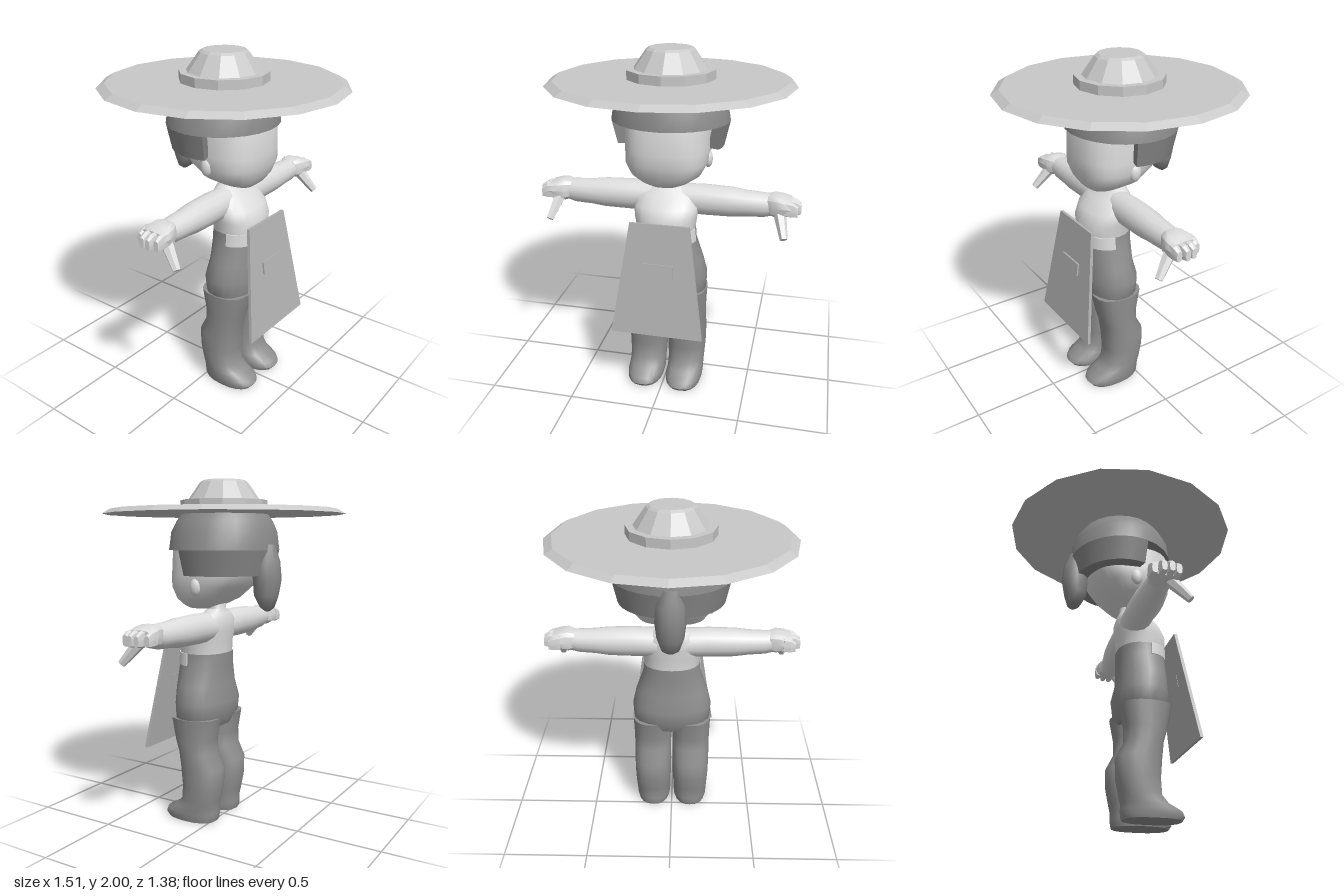
import * as THREE from 'three';
import { toCreasedNormals } from 'three/addons/utils/BufferGeometryUtils.js';

const mat = (name, color) => Object.assign(new THREE.MeshStandardMaterial({ color }), { name });
const skin = mat('pale skin and shirt', 0xdcdcdc);
const straw = mat('straw', 0xc8c8c8);
const cloth = mat('apron cloth', 0xb4b4b4);
const hairMat = mat('hair', 0x8a8a8a);
const trouserMat = mat('trousers', 0x909090);

const mesh = (name, geo, material, parent) => {
  const m = new THREE.Mesh(geo, material);
  m.name = name;
  parent.add(m);
  return m;
};

// One cross-section [y, zFront, zBack, halfWidth, centreX]; n squares it off,
// arc + wall make an open band instead of a full ring
function section([y, zf, zb, rx, cx = 0], { n = 2, seg = 20, arc = null, wall = 0.08 }) {
  const pow = (v) => Math.sign(v) * Math.abs(v) ** (2 / n);
  const at = (a, inset) => new THREE.Vector3(
    cx + pow(Math.cos(a)) * (rx - inset), y,
    (zf + zb) / 2 + pow(Math.sin(a)) * ((zf - zb) / 2 - inset));
  const pts = [];
  if (!arc) {
    for (let i = 0; i < seg; i++) pts.push(at(i / seg * Math.PI * 2, 0));
    return pts;
  }
  const angle = (i) => arc[0] + (arc[1] - arc[0]) * i / seg;
  for (let i = 0; i <= seg; i++) pts.push(at(angle(i), 0));
  for (let i = seg; i >= 0; i--) pts.push(at(angle(i), wall));
  return pts;
}

// Capped skin through cross-sections listed from bottom to top
function loft(levels, opts = {}) {
  const rings = levels.map((l) => section(l, opts));
  const k = rings[0].length, pos = [], idx = [];
  rings.forEach((r) => r.forEach((p) => pos.push(p.x, p.y, p.z)));
  for (let j = 0; j < rings.length - 1; j++) {
    for (let i = 0; i < k; i++) {
      const a = j * k + i, b = j * k + (i + 1) % k;
      idx.push(a, a + k, b, b, a + k, b + k);
    }
  }
  [[0, false], [rings.length - 1, true]].forEach(([j, up]) => {
    const flat = rings[j].map((p) => new THREE.Vector2(p.x, p.z));
    THREE.ShapeUtils.triangulateShape(flat, []).forEach(([a, b, c]) => {
      const turn = flat[b].clone().sub(flat[a]).cross(flat[c].clone().sub(flat[a]));
      const t = (turn < 0) === up ? [a, b, c] : [a, c, b];
      idx.push(...t.map((v) => v + j * k));
    });
  });
  const geo = new THREE.BufferGeometry();
  geo.setAttribute('position', new THREE.Float32BufferAttribute(pos, 3));
  geo.setIndex(idx);
  return toCreasedNormals(geo, opts.crease ?? 0.9);
}

// Faceted ring of revolution
const facetLathe = (pts, sides) =>
  toCreasedNormals(new THREE.LatheGeometry(pts.map((p) => new THREE.Vector2(...p)), sides), 0.1);

function buildHat(g) {
  mesh('hatBrim', facetLathe([[0, 1.81], [0.69, 1.81], [0.645, 1.837], [0, 1.837]], 16), straw, g);
  mesh('hatBand', facetLathe([[0.25, 1.83], [0.25, 1.888], [0, 1.888]], 12), straw, g);
  mesh('hatCrown', facetLathe([[0.21, 1.885], [0.137, 1.988], [0.12, 2], [0, 2]], 12), straw, g);
}

function buildHead(g) {
  mesh('head', loft([
    [1.27, 0.21, 0.06, 0.08], [1.29, 0.235, 0.02, 0.13], [1.33, 0.262, -0.06, 0.195],
    [1.4, 0.288, -0.14, 0.232], [1.47, 0.292, -0.2, 0.235], [1.61, 0.285, -0.23, 0.235],
    [1.75, 0.25, -0.2, 0.22]], { n: 2.7, seg: 28 }), skin, g);
  for (const s of [1, -1]) {
    const ear = mesh('ear', new THREE.SphereGeometry(1, 10, 8), skin, g);
    ear.scale.set(0.025, 0.05, 0.035);
    ear.position.set(s * 0.225, 1.405, 0.05);
  }
  // Hair: cap with fringe, lower band round the sides and back, ponytail
  mesh('hairCap', loft([
    [1.61, 0.31, -0.315, 0.335], [1.71, 0.3, -0.305, 0.315], [1.77, 0.27, -0.28, 0.285],
    [1.82, 0.235, -0.245, 0.25]], { seg: 24 }), hairMat, g);
  mesh('hairSidesAndBack', loft([
    [1.47, 0.275, -0.285, 0.303], [1.61, 0.31, -0.315, 0.335]],
  { arc: [Math.PI - 0.33, Math.PI * 2 + 0.33], wall: 0.07, seg: 22 }), hairMat, g);
  mesh('ponytail', loft([
    [1.27, -0.28, -0.3, 0.02], [1.29, -0.25, -0.325, 0.05], [1.36, -0.212, -0.348, 0.075],
    [1.45, -0.205, -0.365, 0.085], [1.55, -0.2, -0.355, 0.08], [1.64, -0.22, -0.325, 0.05]],
  { seg: 12 }), hairMat, g);
}

function buildBody(g) {
  mesh('shirt', loft([
    [0.99, 0.26, -0.018, 0.168], [1.08, 0.268, -0.02, 0.18], [1.14, 0.235, -0.03, 0.19],
    [1.2, 0.175, -0.03, 0.17], [1.245, 0.115, -0.015, 0.11], [1.27, 0.095, 0, 0.06],
    [1.32, 0.09, 0, 0.055]], { n: 2.2 }), skin, g);
  mesh('shirtFront', loft([[0.94, 0.267, -0.026, 0.182], [1.013, 0.268, -0.026, 0.176]],
    { n: 2.2, arc: [0.15, Math.PI - 0.15], wall: 0.02 }), skin, g);
  mesh('trouserSeat', loft([
    [0.57, 0.245, -0.005, 0.2], [0.62, 0.262, -0.03, 0.238], [0.72, 0.268, -0.042, 0.243],
    [0.82, 0.265, -0.018, 0.22], [0.94, 0.262, -0.02, 0.177], [1.01, 0.263, -0.021, 0.171]],
  { n: 2.3 }), trouserMat, g);
}

function buildLimbs(g, side) {
  const limbs = new THREE.Group();
  limbs.name = side > 0 ? 'leftLimbs' : 'rightLimbs';
  limbs.scale.x = side;
  g.add(limbs);

  mesh('legAndFoot', loft([
    [0, 0.305, -0.018, 0.102, 0.119], [0.02, 0.32, -0.025, 0.108, 0.119],
    [0.05, 0.305, -0.026, 0.11, 0.119], [0.085, 0.235, -0.024, 0.108, 0.12],
    [0.13, 0.195, -0.033, 0.11, 0.12], [0.22, 0.19, -0.05, 0.115, 0.12],
    [0.33, 0.2, -0.052, 0.116, 0.121], [0.42, 0.21, -0.005, 0.116, 0.121],
    [0.5, 0.235, -0.005, 0.118, 0.121], [0.63, 0.262, -0.03, 0.122, 0.122]],
  { n: 2.4 }), trouserMat, limbs);

  // Arm and hand run along local y, laid over onto x
  const lay = (name, levels, opts) => {
    mesh(name, loft(levels, opts), skin, limbs).rotation.z = -Math.PI / 2;
  };
  lay('arm', [
    [0.08, 0.15, -0.02, 0.085, -1.165], [0.22, 0.15, -0.02, 0.089, -1.166],
    [0.37, 0.15, -0.015, 0.085, -1.165], [0.45, 0.145, -0.005, 0.075, -1.165],
    [0.55, 0.14, 0.005, 0.07, -1.165], [0.61, 0.13, 0.015, 0.06, -1.17]], { seg: 14 });
  lay('palm', [
    [0.57, 0.13, 0.015, 0.055, -1.175], [0.61, 0.155, 0, 0.065, -1.175],
    [0.66, 0.165, -0.01, 0.052, -1.178], [0.7, 0.16, -0.005, 0.04, -1.175]],
  { n: 2.8, seg: 12, crease: 0.5 });
  [[-0.01, 0.035, 0.72], [0.033, 0.076, 0.752], [0.074, 0.117, 0.755], [0.115, 0.16, 0.738]]
    .forEach(([z0, z1, end]) => lay('finger', [
      [0.65, z1, z0, 0.045, -1.175], [end - 0.03, z1, z0, 0.042, -1.17],
      [end, z1 - 0.006, z0 + 0.006, 0.03, -1.162]], { n: 3, seg: 8, crease: 0.3 }));

  // Thumb points down and forward
  const from = new THREE.Vector3(0.64, 1.14, 0.12), to = new THREE.Vector3(0.675, 1.025, 0.215);
  const thumb = mesh('thumb',
    toCreasedNormals(new THREE.CylinderGeometry(0.022, 0.036, from.distanceTo(to), 6), 0.3), skin, limbs);
  thumb.position.copy(from).lerp(to, 0.5);
  thumb.quaternion.setFromUnitVectors(new THREE.Vector3(0, 1, 0), to.clone().sub(from).normalize());
}

function buildApron(g) {
  const apron = new THREE.Group();
  apron.name = 'apron';
  apron.position.set(0, 0.757, 0.342);
  apron.rotation.x = -0.144;
  g.add(apron);
  const shape = new THREE.Shape([[-0.265, -0.33], [0.265, -0.33], [0.17, 0.33], [-0.17, 0.33]]
    .map((p) => new THREE.Vector2(...p)));
  const panel = new THREE.ExtrudeGeometry(shape, { depth: 0.018, bevelEnabled: false });
  mesh('apronPanel', panel.translate(0, 0, -0.009), cloth, apron);
  mesh('apronPocket', new THREE.BoxGeometry(0.175, 0.075, 0.03), cloth, apron).position.set(0, 0.065, 0.004);
}

export function createModel() {
  const model = new THREE.Group();
  model.name = 'figureInWideHat';
  buildHat(model);
  buildHead(model);
  buildBody(model);
  buildLimbs(model, 1);
  buildLimbs(model, -1);
  buildApron(model);
  return model;
}
